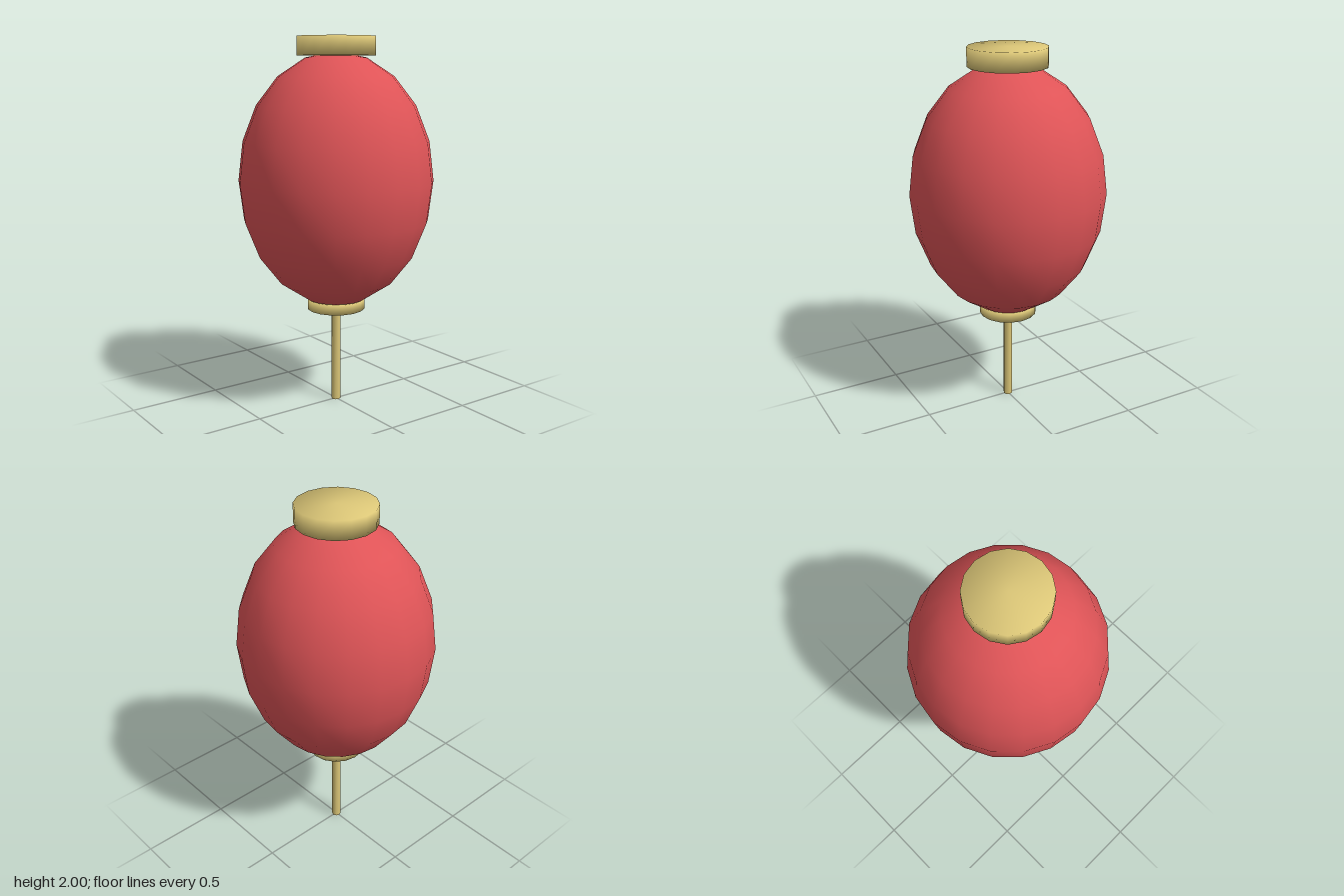
import * as THREE from 'three';
import { mergeVertices } from 'three/addons/utils/BufferGeometryUtils.js';

const red = new THREE.MeshStandardMaterial({ color: 0xdf5457 });
red.name = 'red paper';
const gold = new THREE.MeshStandardMaterial({ color: 0xdbc677 });
gold.name = 'gold trim';

// Closed cylinder whose normals run smoothly over the rim
function softCylinder(name, radius, bottom, top, sides) {
  const base = new THREE.CylinderGeometry(radius, radius, top - bottom, sides);
  base.deleteAttribute('normal');
  base.deleteAttribute('uv');
  const geometry = mergeVertices(base, 1e-4);
  geometry.computeVertexNormals();
  const mesh = new THREE.Mesh(geometry, gold);
  mesh.name = name;
  mesh.position.y = (bottom + top) / 2;
  return mesh;
}

export function createModel() {
  const group = new THREE.Group();
  group.name = 'paperLantern';

  // Egg-shaped paper body
  const geometry = new THREE.SphereGeometry(0.525, 20, 10);
  geometry.scale(1, 1.3, 1);
  const body = new THREE.Mesh(geometry, red);
  body.name = 'lanternBody';
  body.position.y = 1.24;
  group.add(body);

  // Caps and hanging tassel rod
  group.add(
    softCylinder('topCap', 0.21, 1.9, 2, 16),
    softCylinder('bottomCap', 0.158, 0.53, 0.585, 16),
    softCylinder('tasselRod', 0.025, 0, 0.535, 8)
  );
  return group;
}
